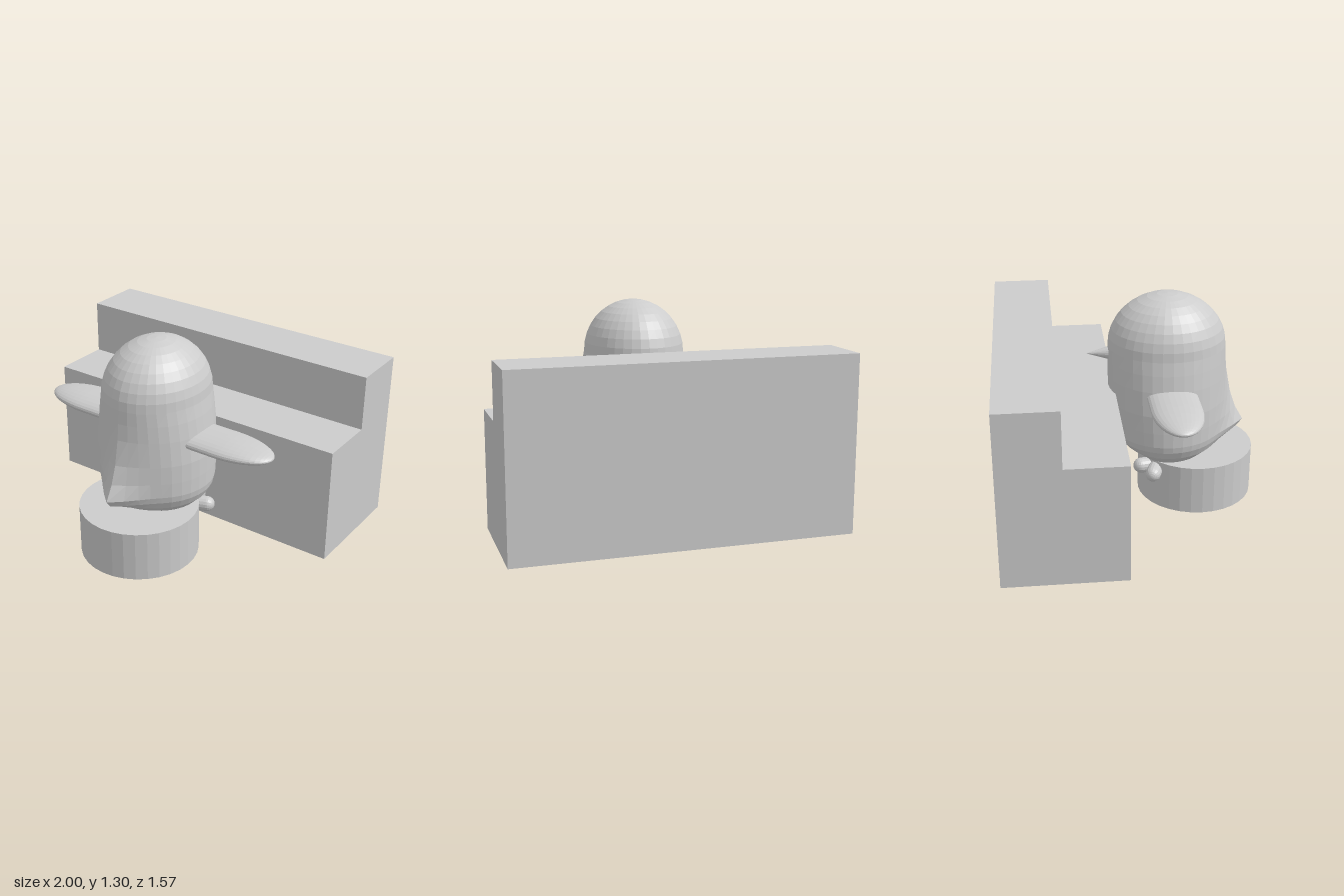
import * as THREE from 'three';

const CX = 0.015; // shared centre line of bird and stool
const BZ = 0.245; // middle of the bird's body

// Body skin lofted from rings: [y, half width, depth to -z, depth to +z, tail length]
function bodyGeometry() {
  const rings = [
    [0.27, 0, 0, 0, 0],
    [0.27, 0.2, 0.12, 0.2, 0],
    [0.3, 0.255, 0.18, 0.24, 0.02],
    [0.36, 0.315, 0.265, 0.31, 0.05],
    [0.41, 0.34, 0.315, 0.335, 0.12],
    [0.45, 0.348, 0.33, 0.345, 0.14],
    [0.54, 0.35, 0.34, 0.35, 0.085],
    [0.65, 0.35, 0.35, 0.35, 0.048],
    [0.8, 0.335, 0.355, 0.35, 0.02],
    [0.9, 0.32, 0.355, 0.35, 0.01],
  ];
  // Rounded head
  for (let i = 0; i <= 9; i++) {
    const a = (i / 9) * Math.PI / 2;
    const c = i === 9 ? 0 : Math.cos(a);
    rings.push([0.98 + 0.32 * Math.sin(a), 0.305 * c, 0.355 * c, 0.35 * c, 0.005 * c]);
  }
  const n = 36, pos = [], idx = [];
  for (const [y, rx, front, back, tail] of rings) {
    for (let j = 0; j < n; j++) {
      const t = (j / n) * Math.PI * 2;
      const off = Math.min(t, Math.PI * 2 - t);
      const wedge = tail * Math.pow(Math.max(0, 1 - off / 0.77), 2.2);
      const c = Math.cos(t), s = Math.sin(t);
      pos.push((rx + wedge) * s, y, (c > 0 ? back : front) * c + wedge * c);
    }
  }
  for (let i = 0; i < rings.length - 1; i++) {
    for (let j = 0; j < n; j++) {
      const k = (j + 1) % n;
      const a = i * n + j, b = i * n + k, c = b + n, d = a + n;
      if (i > 0) idx.push(a, b, c);
      else idx.push(a, c, d);
      if (i > 0 && i < rings.length - 2) idx.push(a, c, d);
    }
  }
  const g = new THREE.BufferGeometry();
  g.setAttribute('position', new THREE.Float32BufferAttribute(pos, 3));
  g.setIndex(idx);
  g.computeVertexNormals();
  return g;
}

export function createModel() {
  const model = new THREE.Group();
  const grey = new THREE.MeshStandardMaterial({ color: 0xcccccc, flatShading: true });
  grey.name = 'light grey';

  const add = (name, geometry, x, y, z, parent = model) => {
    const mesh = new THREE.Mesh(geometry, grey);
    mesh.name = name;
    mesh.position.set(x, y, z);
    parent.add(mesh);
    return mesh;
  };

  // Stepped upright piano, side profile extruded along x
  const side = new THREE.Shape([
    [0.075, 0.01], [0.785, 0.01], [0.785, 1.06], [0.43, 1.06], [0.43, 0.725], [0.075, 0.725],
  ].map(([z, y]) => new THREE.Vector2(z, y)));
  const pianoGeo = new THREE.ExtrudeGeometry(side, { depth: 2, bevelEnabled: false });
  pianoGeo.rotateY(Math.PI / 2);
  add('piano', pianoGeo, -1, 0, 0);

  // Round stool
  add('stool', new THREE.CylinderGeometry(0.355, 0.355, 0.305, 32), CX, 0.1525, 0.432);

  // Bird, facing the piano
  const bird = new THREE.Group();
  bird.name = 'bird';
  bird.position.set(CX, 0, BZ);
  model.add(bird);
  add('body', bodyGeometry(), 0, 0, 0, bird);

  const beakGeo = new THREE.ConeGeometry(0.055, 0.19, 20);
  beakGeo.rotateX(-Math.PI / 2);
  add('beak', beakGeo, 0, 0.933, -0.39, bird);

  // Flat wing with an elliptical tip
  const wingProfile = [new THREE.Vector2(1, 0.2)];
  for (let i = 0; i <= 12; i++) {
    const a = (i / 12) * Math.PI / 2;
    wingProfile.push(new THREE.Vector2(i === 12 ? 0 : Math.cos(a), 0.48 + 0.305 * Math.sin(a)));
  }

  // Toe: rounded rod between two points
  const toe = (a, b, parent) => {
    const dir = b.clone().sub(a);
    const mid = a.clone().add(b).multiplyScalar(0.5);
    const mesh = add('toe', new THREE.CapsuleGeometry(0.046, dir.length(), 6, 16), mid.x, mid.y, mid.z, parent);
    mesh.quaternion.setFromUnitVectors(new THREE.Vector3(0, 1, 0), dir.normalize());
  };

  for (const s of [1, -1]) {
    const label = s > 0 ? 'left' : 'right';
    const wingGeo = new THREE.LatheGeometry(wingProfile, 28);
    wingGeo.scale(0.05, 1, 0.15);
    wingGeo.rotateZ(-s * Math.PI / 2);
    add(label + 'Wing', wingGeo, 0, 0.762, -0.003, bird);

    const foot = new THREE.Group();
    foot.name = label + 'Foot';
    bird.add(foot);
    const heel = new THREE.Vector3(s * 0.15, 0.247, -0.06);
    toe(heel, new THREE.Vector3(s * 0.285, 0.247, -0.108), foot);
    toe(heel, new THREE.Vector3(s * 0.175, 0.25, -0.17), foot);
  }
  return model;
}
